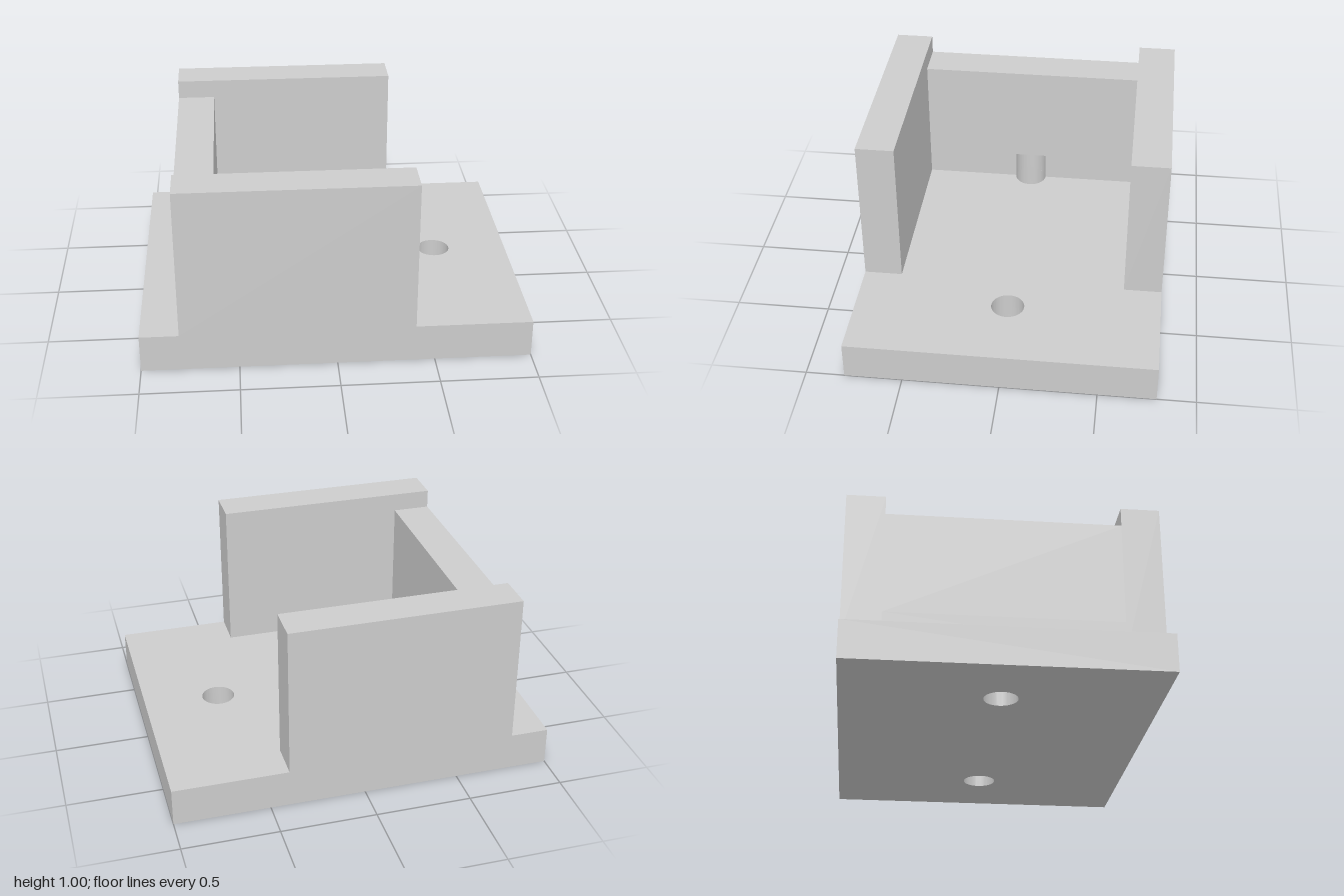
import * as THREE from 'three';
import { toCreasedNormals } from 'three/addons/utils/BufferGeometryUtils.js';

const HOLE_R = 0.087;

export function createModel() {
  const group = new THREE.Group();
  const grey = new THREE.MeshStandardMaterial({ color: 0xcccccc });

  const add = (name, geometry) => {
    const mesh = new THREE.Mesh(geometry, grey);
    mesh.name = name;
    group.add(mesh);
  };

  // Box given by its limits on each axis
  const box = (name, [x0, x1], [y0, y1], [z0, z1]) => {
    const g = new THREE.BoxGeometry(x1 - x0, y1 - y0, z1 - z0);
    g.translate((x0 + x1) / 2, (y0 + y1) / 2, (z0 + z1) / 2);
    add(name, g);
  };

  // Floor-plan outline raised from y0 to y1
  const slab = (name, shape, y0, y1) => {
    const g = new THREE.ExtrudeGeometry(shape, { depth: y1 - y0, bevelEnabled: false, curveSegments: 32 });
    g.rotateX(-Math.PI / 2).translate(0, y0, 0);
    add(name, toCreasedNormals(g, 0.6));
  };

  // Base plate with two through holes
  const plate = new THREE.Shape();
  plate.moveTo(-1, -0.8).lineTo(1, -0.8).lineTo(1, 0.8).lineTo(-1, 0.8).closePath();
  for (const x of [-0.6, 0.6]) {
    plate.holes.push(new THREE.Path().absarc(x, 0, HOLE_R, 0, Math.PI * 2, true));
  }
  slab('basePlate', plate, 0, 0.2);

  // Two tall side walls
  box('frontWall', [-0.8, 0.4], [0.2, 1], [0.6, 0.8]);
  box('rearWall', [-0.8, 0.4], [0.2, 1], [-0.8, -0.6]);

  // Cross wall: the lower part has a half-round recess above the hole
  const notched = new THREE.Shape();
  notched.moveTo(-0.8, -0.6).lineTo(-0.6, -0.6).lineTo(-0.6, -HOLE_R);
  notched.absarc(-0.6, 0, HOLE_R, -Math.PI / 2, Math.PI / 2, true);
  notched.lineTo(-0.6, 0.6).lineTo(-0.8, 0.6).closePath();
  slab('crossWallLower', notched, 0.2, 0.35);
  box('crossWallUpper', [-0.8, -0.6], [0.35, 0.9], [-0.6, 0.6]);

  return group;
}
